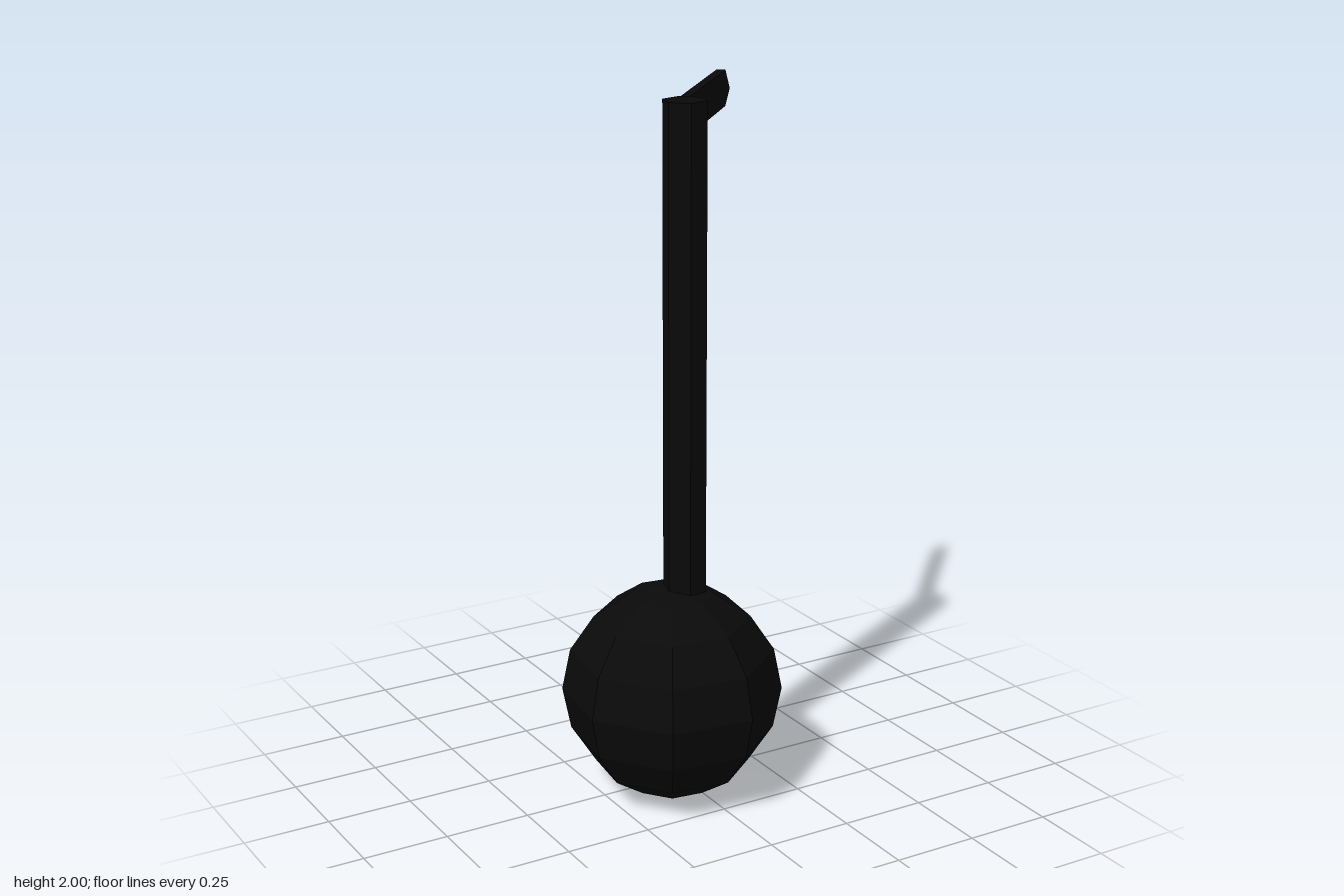
import * as THREE from 'three';

export function createModel() {
  const model = new THREE.Group();
  const material = new THREE.MeshStandardMaterial({ color: 0x0a0a0a, flatShading: true });
  const deg = THREE.MathUtils.degToRad;

  const add = (name, geometry, position, turn) => {
    const mesh = new THREE.Mesh(geometry, material);
    mesh.name = name;
    mesh.position.set(...position);
    mesh.rotation.y = deg(turn);
    model.add(mesh);
  };

  // Faceted ball at the bottom
  add('ball', new THREE.SphereGeometry(0.314, 8, 8), [-0.058, 0.315, 0.056], 15);

  // Six-sided upright, sunk into the ball
  const bottom = 0.5, top = 2;
  add('stem', new THREE.CylinderGeometry(0.062, 0.062, top - bottom, 6),
    [-0.019, (top + bottom) / 2, 0.06], 45);

  // Flattened six-sided arm reaching back and to the left from the stem's top
  const arm = new THREE.CylinderGeometry(1, 1, 0.53, 6);
  arm.rotateZ(-Math.PI / 2);
  arm.scale(1, 0.06, 0.026);
  add('arm', arm, [0.16, 1.945, -0.152], 46.8);

  return model;
}
